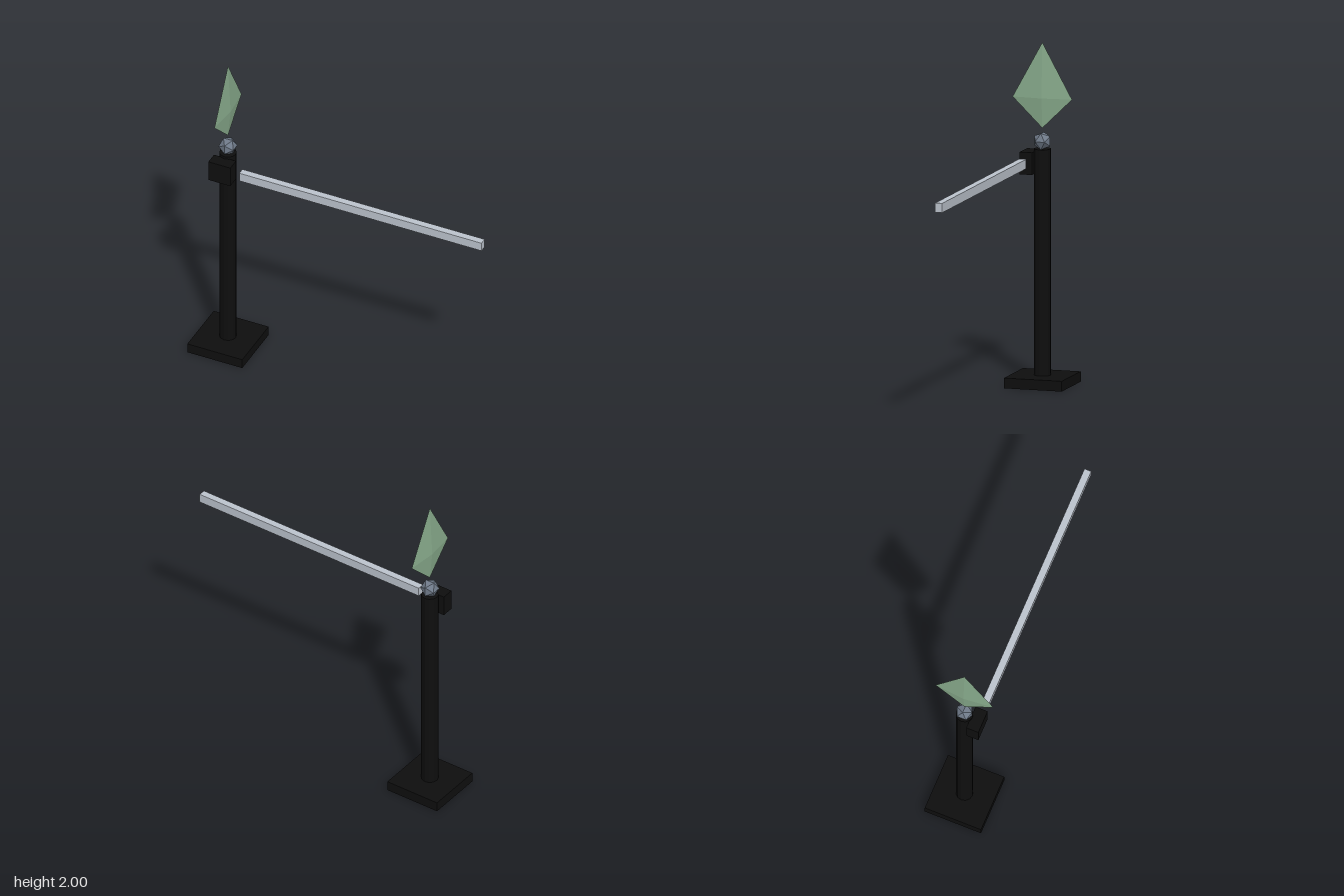
import * as THREE from 'three';

const paint = (name, color) => {
  const m = new THREE.MeshStandardMaterial({ color });
  m.name = name;
  return m;
};

export function createModel() {
  const black = paint('black', 0x0e0e0e);
  const silver = paint('pale silver', 0xbcc3cd);
  const slate = paint('slate grey', 0x6f7a89);
  const green = paint('soft green', 0x88ab8c);

  const model = new THREE.Group();
  model.name = 'barrierPost';
  const add = (name, geometry, material, x, y, z) => {
    const mesh = new THREE.Mesh(geometry, material);
    mesh.name = name;
    mesh.position.set(x, y, z);
    model.add(mesh);
    return mesh;
  };
  const postX = -0.75;

  // Square foot and round post
  add('base', new THREE.BoxGeometry(0.35, 0.06, 0.35), black, postX, 0.03, 0);
  const post = new THREE.CylinderGeometry(0.05, 0.05, 1.32, 12).toNonIndexed();
  post.computeVertexNormals();
  add('post', post, black, postX, 0.72, 0);

  // Pivot housing on the front of the post, and the arm beside it
  add('bracket', new THREE.BoxGeometry(0.14, 0.13, 0.075), black, postX, 1.3, 0.0775);
  add('arm', new THREE.BoxGeometry(1.545, 0.055, 0.042), silver, 0.1425, 1.307, 0.079);

  // Faceted ball on top
  add('finial', new THREE.IcosahedronGeometry(0.055, 0), slate, postX, 1.425, 0);

  // Thin kite-shaped crystal: a flattened octahedron with a longer upper half
  const kite = new THREE.OctahedronGeometry(1, 0);
  const p = kite.attributes.position;
  for (let i = 0; i < p.count; i++) {
    const y = p.getY(i);
    p.setXYZ(i, p.getX(i) * 0.017, y * (y > 0 ? 0.325 : 0.175), p.getZ(i) * 0.18);
  }
  kite.computeVertexNormals();
  add('crystal', kite, green, postX, 1.675, 0);

  return model;
}
